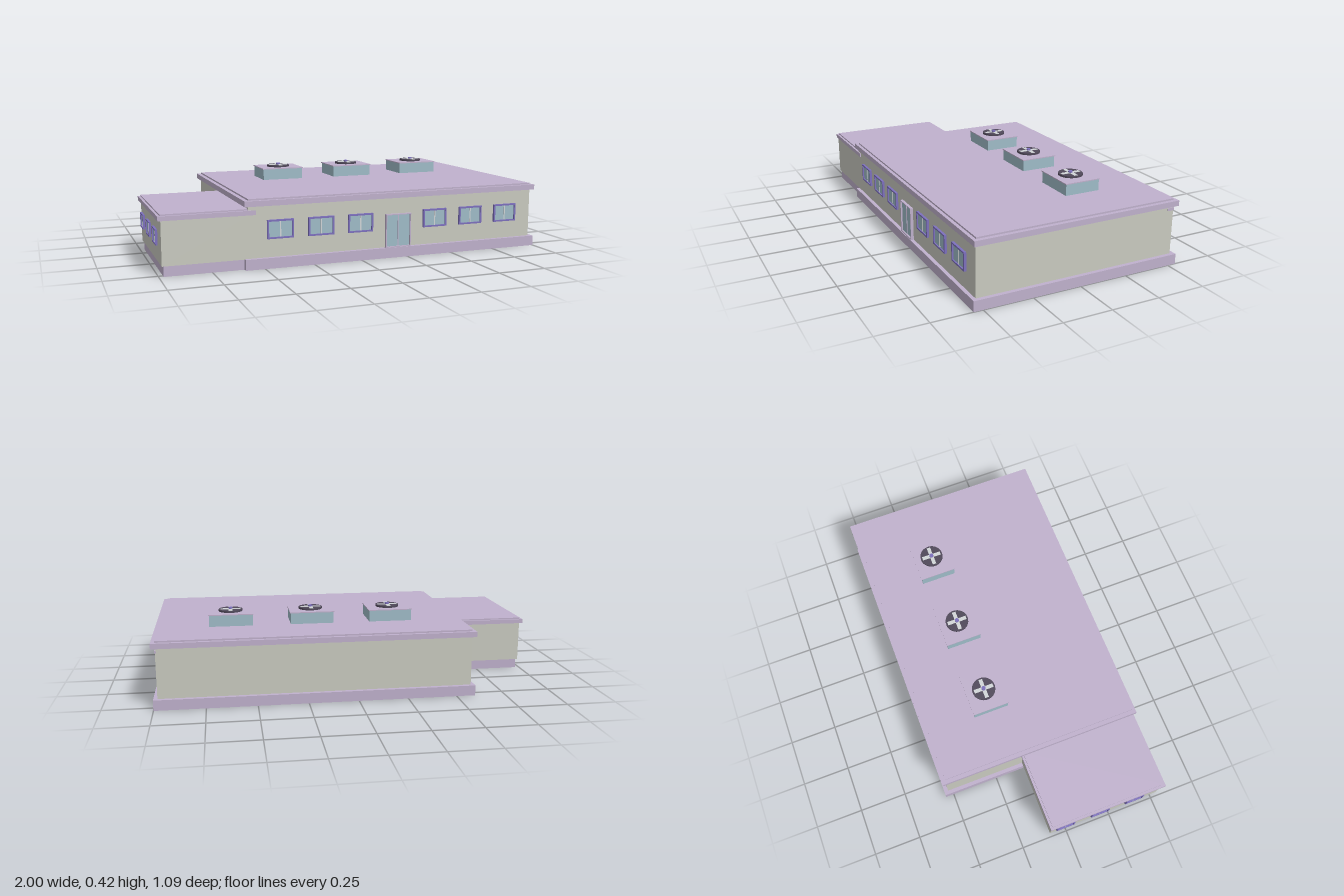
import * as THREE from 'three';

const mat = (name, color, side = THREE.FrontSide) => {
  const m = new THREE.MeshStandardMaterial({ color, side });
  m.name = name;
  return m;
};

export function createModel() {
  const lilac = mat('lilac', 0xc0b1cd);
  const wall = mat('wall', 0xc9cac0);
  const glass = mat('glass', 0x9fbcc8);
  const violet = mat('violet', 0x7d70bd);
  const dark = mat('dark', 0x50495a);
  const pale = mat('pale', 0xd2d6d8);
  const model = new THREE.Group();
  model.name = 'building';

  // Box given by its minimum and maximum along each axis
  const box = (name, material, [x0, x1], [y0, y1], [z0, z1], parent = model) => {
    const mesh = new THREE.Mesh(new THREE.BoxGeometry(x1 - x0, y1 - y0, z1 - z0), material);
    mesh.position.set((x0 + x1) / 2, (y0 + y1) / 2, (z0 + z1) / 2);
    mesh.name = name;
    parent.add(mesh);
    return mesh;
  };

  // Main hall
  box('mainBase', lilac, [-0.596, 1], [0, 0.052], [-0.544, 0.546]);
  box('mainWalls', wall, [-0.577, 0.98], [0.052, 0.303], [-0.523, 0.527]);
  box('mainCornice', lilac, [-0.596, 1], [0.303, 0.33], [-0.539, 0.541]);
  box('mainRoof', lilac, [-0.575, 0.98], [0.33, 0.338], [-0.521, 0.524]);
  box('cornerBracket', lilac, [0.975, 0.983], [0.278, 0.292], [-0.525, -0.49]);

  // Lower side wing
  box('wingBase', lilac, [-0.978, -0.59], [0, 0.05], [-0.085, 0.521]);
  box('wingWalls', wall, [-0.986, -0.57], [0.05, 0.262], [-0.092, 0.527]);
  box('wingCornice', lilac, [-1, -0.54], [0.262, 0.284], [-0.105, 0.533]);
  box('wingRoof', lilac, [-0.988, -0.575], [0.284, 0.291], [-0.093, 0.521]);

  // Framed pane facing +z, standing on its local origin
  const frame = (name, w, h, t, depth, material) => {
    const group = new THREE.Group();
    group.name = name;
    const outer = new THREE.Shape([[-w / 2, 0], [w / 2, 0], [w / 2, h], [-w / 2, h]].map(p => new THREE.Vector2(...p)));
    const a = w / 2 - t;
    outer.holes.push(new THREE.Path([[-a, t], [-a, h - t], [a, h - t], [a, t]].map(p => new THREE.Vector2(...p))));
    const surround = new THREE.Mesh(new THREE.ExtrudeGeometry(outer, { depth, bevelEnabled: false }), material);
    surround.name = 'surround';
    group.add(surround);
    box('pane', glass, [-a, a], [t, h - t], [0, depth * 0.45], group);
    model.add(group);
    return group;
  };

  // Front windows
  for (const x of [-0.42, -0.213, -0.005, 0.407, 0.615, 0.823]) {
    const w = frame('frontWindow', 0.132, 0.092, 0.008, 0.012, violet);
    w.position.set(x, 0.142, 0.527);
    box('mullion', pale, [-0.003, 0.003], [0.008, 0.084], [0, 0.008], w);
  }

  // Wing windows
  for (const z of [-0.013, 0.182, 0.378]) {
    const w = frame('sideWindow', 0.1, 0.075, 0.007, 0.011, violet);
    w.position.set(-0.986, 0.13, z);
    w.rotation.y = -Math.PI / 2;
    box('mullion', pale, [-0.0025, 0.0025], [0.007, 0.068], [0, 0.007], w);
  }

  // Double entrance door
  const door = frame('door', 0.138, 0.17, 0.005, 0.015, lilac);
  door.position.set(0.2, 0.052, 0.527);
  box('doorDivider', lilac, [-0.002, 0.002], [0.005, 0.165], [0, 0.01], door);

  // Rooftop ventilation units
  for (const x of [-0.21, 0.2, 0.615]) {
    const unit = new THREE.Group();
    unit.name = 'ventilationUnit';
    unit.position.set(x, 0.338, -0.172);
    model.add(unit);
    box('housing', glass, [-0.111, 0.111], [0, 0.057], [-0.093, 0.093], unit);
    box('lid', lilac, [-0.115, 0.115], [0.057, 0.062], [-0.097, 0.097], unit);

    const disc = (name, material, r, y0, y1) => {
      const mesh = new THREE.Mesh(new THREE.CylinderGeometry(r, r, y1 - y0, 32), material);
      mesh.position.y = (y0 + y1) / 2;
      mesh.name = name;
      unit.add(mesh);
    };
    disc('fan', dark, 0.061, 0.062, 0.071);
    // Light cross between the fan quarters
    box('crossBar', pale, [-0.052, 0.052], [0.07, 0.073], [-0.01, 0.01], unit);
    box('crossBar', pale, [-0.01, 0.01], [0.07, 0.073], [-0.052, 0.052], unit);
    disc('hub', violet, 0.011, 0.07, 0.08);
  }

  return model;
}
